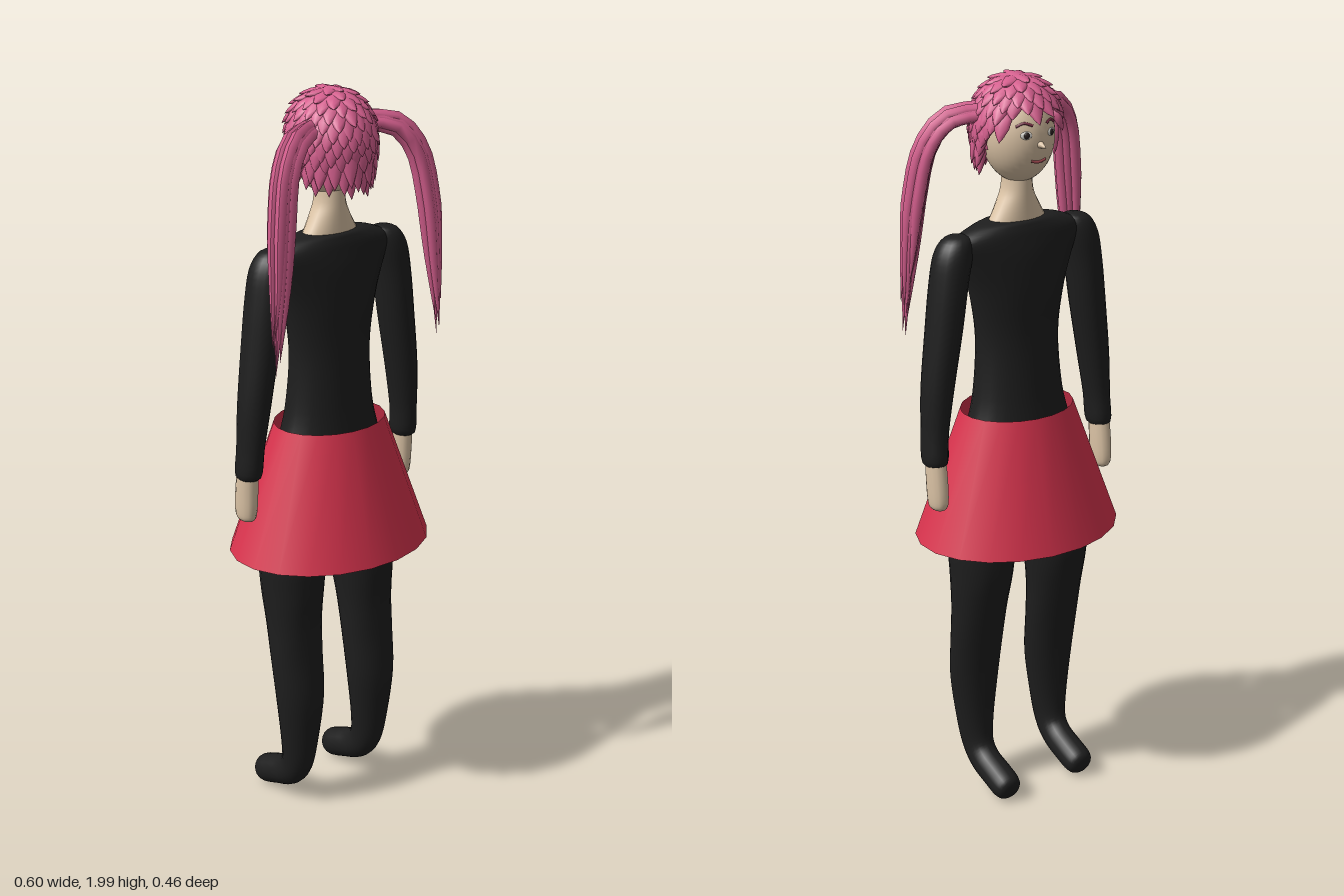
import * as THREE from 'three';
import { mergeGeometries } from 'three/addons/utils/BufferGeometryUtils.js';

const mat = (name, color) => Object.assign(new THREE.MeshStandardMaterial({ color }), { name });

// Loft through elliptical rings [x, y, z, rx, rz, tilt]; tilt swings the path from down to forward (-z).
function loft(rings, n = 20) {
  const pos = [], index = [];
  rings.forEach(([x, y, z, rx, rz, t = 0], i) => {
    for (let j = 0; j < n; j++) {
      const a = (j / n) * Math.PI * 2, f = rz * Math.sin(a);
      pos.push(x + rx * Math.cos(a), y + f * Math.sin(t), z - f * Math.cos(t));
      if (i + 1 < rings.length) {
        const k = (j + 1) % n, p = i * n;
        index.push(p + j, p + n + j, p + k, p + k, p + n + j, p + n + k);
      }
    }
  });
  const g = new THREE.BufferGeometry();
  g.setAttribute('position', new THREE.Float32BufferAttribute(pos, 3));
  g.setIndex(index);
  g.computeVertexNormals();
  return g;
}

// Smooth extra rings between the given ones
function smooth(rings, steps = 4) {
  const out = [], cr = (a, b, c, d, t) =>
    b + 0.5 * t * (c - a + t * (2 * a - 5 * b + 4 * c - d + t * (3 * (b - c) + d - a)));
  for (let i = 0; i < rings.length - 1; i++) {
    const [a, b, c, d] = [-1, 0, 1, 2].map(k => rings[Math.min(Math.max(i + k, 0), rings.length - 1)]);
    for (let s = 0; s < steps; s++)
      out.push(b.map((v, k) => {
        const w = cr(a[k], v, c[k], d[k], s / steps);
        return k === 3 || k === 4 ? Math.max(w, 0) : w;
      }));
  }
  out.push(rings[rings.length - 1]);
  return out;
}

// Tube whose radius follows taper(t)
function taperedTube(points, radius, taper, segs = 14, sides = 6) {
  const curve = new THREE.CatmullRomCurve3(points);
  const g = new THREE.TubeGeometry(curve, segs, radius, sides);
  const p = g.attributes.position, v = new THREE.Vector3();
  for (let i = 0; i < p.count; i++) {
    const t = Math.floor(i / (sides + 1)) / segs, c = curve.getPointAt(t);
    v.fromBufferAttribute(p, i).sub(c).multiplyScalar(taper(t)).add(c);
    p.setXYZ(i, v.x, v.y, v.z);
  }
  g.computeVertexNormals();
  return g;
}

let seed = 7;
const rand = () => (seed = (seed * 16807) % 2147483647) / 2147483647;

// Overlapping pointed locks over the skull, leaving the face free
function hairLocks() {
  const leaf = loft([[0, 0.03, 0, 0, 0], [0, 0.027, 0, 0.014, 0.007], [0, 0.008, 0, 0.025, 0.012],
    [0, -0.015, 0, 0.021, 0.011], [0, -0.036, 0, 0.010, 0.006], [0, -0.05, 0, 0, 0]], 8);
  const list = [], N = 190;
  for (let i = 0; i < N; i++) {
    const y = 1 - (i / N) * 1.55, r = Math.sqrt(Math.max(0, 1 - y * y)), a = i * 2.39996;
    const d = new THREE.Vector3(r * Math.cos(a), y, r * Math.sin(a));
    const edge = y > 0.1 ? -0.55 : y > -0.25 ? -0.25 : 0.02;
    if (y < 0.5 && d.z < edge) continue;
    const n = new THREE.Vector3(d.x / 0.105, d.y / 0.12, d.z / 0.115).normalize();
    const down = new THREE.Vector3(0, -1, 0);
    if (y > 0) down.addScaledVector(n, n.y);
    if (down.lengthSq() < 0.01) down.set(0, 0, 1);
    down.normalize().addScaledVector(n, 0.12 + 0.15 * rand()).normalize();
    const Y = down.negate(), X = new THREE.Vector3().crossVectors(Y, n).normalize();
    const Z = new THREE.Vector3().crossVectors(X, Y);
    const len = y < -0.2 ? 1.2 + 0.4 * Math.max(0, d.z) : 0.85 + 0.25 * rand();
    const m = new THREE.Matrix4().makeBasis(X, Y.multiplyScalar(len), Z);
    m.setPosition(d.x * 0.105, 1.86 + d.y * 0.122, 0.005 + d.z * 0.115);
    list.push(leaf.clone().applyMatrix4(m));
  }
  return mergeGeometries(list);
}

// Bundle of strands arching out from the head and hanging down behind the arm
function pigtail(s) {
  const path = [[0.085, 1.9, 0.03, 0, 1], [0.165, 1.885, 0.065, 0.4, 0.9], [0.215, 1.82, 0.088, 0.9, 0.4],
    [0.242, 1.69, 0.105, 1, 0.1], [0.258, 1.52, 0.114, 1, 0]];
  const list = [];
  for (let k = 0; k < 10; k++) {
    const a = k * 2.39996, q = Math.sqrt(k / 9), u = 0.017 * q * Math.cos(a), w = 0.03 * q * Math.sin(a);
    const pts = path.map(([x, y, z, nx, ny], i) => {
      const f = i === 0 ? 0.75 : i === 4 ? 0.8 : 1;
      return new THREE.Vector3(s * (x + f * (u * nx - 0.45 * w)), y + f * u * ny, z + f * (0.45 * u * nx + 0.88 * w));
    });
    pts.push(new THREE.Vector3(s * (0.27 + u * 0.6), 1.31 + 0.15 * ((k * 7) % 10) / 10, 0.118 + 0.5 * w));
    list.push(taperedTube(pts, 0.016, t => t < 0.55 ? 1 : 1 - Math.pow((t - 0.55) / 0.45, 1.4)));
  }
  return mergeGeometries(list);
}

export function createModel() {
  const model = new THREE.Group();
  const black = mat('blackCloth', 0x1e1e1e), red = mat('redSkirt', 0xd9344e), skin = mat('skin', 0xdcc4a6);
  const pink = mat('pinkHair', 0xd6608f), white = mat('eyeWhite', 0xf2efe8), dark = mat('eyeDark', 0x2a2020);
  const brown = mat('brow', 0x7d3048), lips = mat('lips', 0xb05058);
  red.side = pink.side = THREE.DoubleSide;
  const add = (name, geo, m) => {
    const mesh = new THREE.Mesh(geo, m);
    mesh.name = name;
    model.add(mesh);
    return mesh;
  };

  // Torso and hips
  add('torso', loft(smooth([[0, 1.622, 0, 0, 0], [0, 1.62, 0, 0.085, 0.048], [0, 1.605, 0, 0.15, 0.06],
    [0, 1.575, 0, 0.195, 0.068], [0, 1.52, 0, 0.172, 0.078], [0, 1.43, 0, 0.14, 0.084], [0, 1.3, 0, 0.12, 0.082],
    [0, 1.15, -0.003, 0.13, 0.09], [0, 1.05, -0.005, 0.155, 0.1], [0, 0.92, -0.005, 0.185, 0.105],
    [0, 0.84, -0.005, 0.15, 0.08], [0, 0.81, -0.005, 0, 0]]), 28), black);

  // Flared open skirt
  const skirt = add('skirt', new THREE.CylinderGeometry(0.16, 0.29, 0.35, 20, 1, true, Math.PI / 20), red);
  skirt.geometry.scale(1, 1, 0.8);
  skirt.position.y = 0.93;

  for (const s of [1, -1]) {
    const side = s > 0 ? 'left' : 'right';
    const mir = rings => rings.map(([x, ...r]) => [s * x, ...r]);
    add(side + 'Arm', loft(smooth(mir([[0.18, 1.602, 0, 0, 0], [0.185, 1.592, 0, 0.035, 0.035],
      [0.198, 1.55, 0, 0.05, 0.052], [0.213, 1.47, 0, 0.049, 0.056], [0.229, 1.35, 0, 0.047, 0.054],
      [0.25, 1.2, 0, 0.042, 0.048], [0.262, 1.08, -0.003, 0.034, 0.042], [0.266, 1.0, -0.008, 0.031, 0.038],
      [0.266, 0.998, -0.008, 0, 0]])), 18), black);
    add(side + 'Hand', loft(smooth(mir([[0.266, 1.02, -0.01, 0.026, 0.032], [0.266, 0.96, -0.016, 0.026, 0.036],
      [0.266, 0.9, -0.02, 0.024, 0.036], [0.266, 0.877, -0.02, 0.018, 0.027], [0.266, 0.868, -0.02, 0, 0]])), 14), skin);
    // Leg runs into a forward pointing foot
    add(side + 'Leg', loft(smooth(mir([[0.105, 0.95, -0.008, 0.088, 0.1, 0], [0.12, 0.75, -0.008, 0.09, 0.097, 0],
      [0.122, 0.65, -0.008, 0.085, 0.088, 0], [0.124, 0.55, 0.0, 0.079, 0.07, 0], [0.125, 0.45, 0.012, 0.077, 0.06, 0],
      [0.125, 0.33, 0.026, 0.07, 0.058, 0], [0.125, 0.2, 0.024, 0.053, 0.05, 0.05], [0.124, 0.12, 0.01, 0.042, 0.046, 0.45],
      [0.123, 0.08, -0.025, 0.04, 0.044, 1.0], [0.122, 0.058, -0.08, 0.041, 0.042, 1.2], [0.122, 0.042, -0.125, 0.04, 0.04, 1.25],
      [0.122, 0.036, -0.145, 0.028, 0.028, 1.25], [0.122, 0.034, -0.152, 0, 0, 1.25]])), 20), black);
    add(side + 'Pigtail', pigtail(s), pink);
  }

  // Neck and head
  add('neck', loft(smooth([[0, 1.76, 0, 0.036, 0.044, 0], [0, 1.7, 0, 0.04, 0.045, 0], [0, 1.66, 0, 0.058, 0.046, 0],
    [0, 1.615, 0, 0.084, 0.048, 0]]), 20), skin);
  const head = add('head', new THREE.SphereGeometry(1, 32, 24), skin);
  head.scale.set(0.092, 0.125, 0.1);
  head.position.set(0, 1.84, -0.005);
  const onFace = (x, y, out = 0) => new THREE.Vector3(x, y,
    -0.005 - out - 0.1 * Math.sqrt(1 - (x / 0.092) ** 2 - ((y - 1.84) / 0.125) ** 2));

  // Face
  const nose = add('nose', new THREE.ConeGeometry(0.014, 0.04, 12), skin);
  nose.rotation.x = -Math.PI / 2 - 0.15;
  nose.position.set(0, 1.828, -0.11);
  for (const s of [1, -1]) {
    const disc = (name, w, h, out, m) => {
      const e = add(name, new THREE.SphereGeometry(1, 16, 10), m);
      e.scale.set(w, h, 0.004);
      e.position.copy(onFace(s * 0.038, 1.856, out));
      e.rotation.y = -s * 0.42;
    };
    disc('eyeWhite', 0.015, 0.0105, 0.0005, white);
    disc('pupil', 0.008, 0.0085, 0.003, dark);
    const arc = [0.02, 0.04, 0.058].map((x, i) => onFace(s * x, [1.879, 1.886, 1.877][i], 0.001));
    add('eyebrow', taperedTube(arc, 0.0035, () => 1, 8, 6), brown);
  }
  const smile = [-0.022, 0, 0.022].map(x => onFace(x, 1.783 + Math.abs(x) * 0.2, 0));
  add('mouth', taperedTube(smile, 0.004, () => 1, 8, 6), lips);

  // Hair: under-cap on crown and back, then the locks
  for (const [name, p0, pl, tl] of [['hairCrown', 0, Math.PI * 2, 1.0], ['hairBack', -0.15, Math.PI + 0.3, 2.0]]) {
    const cap = add(name, new THREE.SphereGeometry(1, 28, 14, p0, pl, 0, tl), pink);
    cap.scale.set(0.105, 0.122, 0.115);
    cap.position.set(0, 1.86, 0.005);
  }
  add('hairLocks', hairLocks(), pink);
  return model;
}
